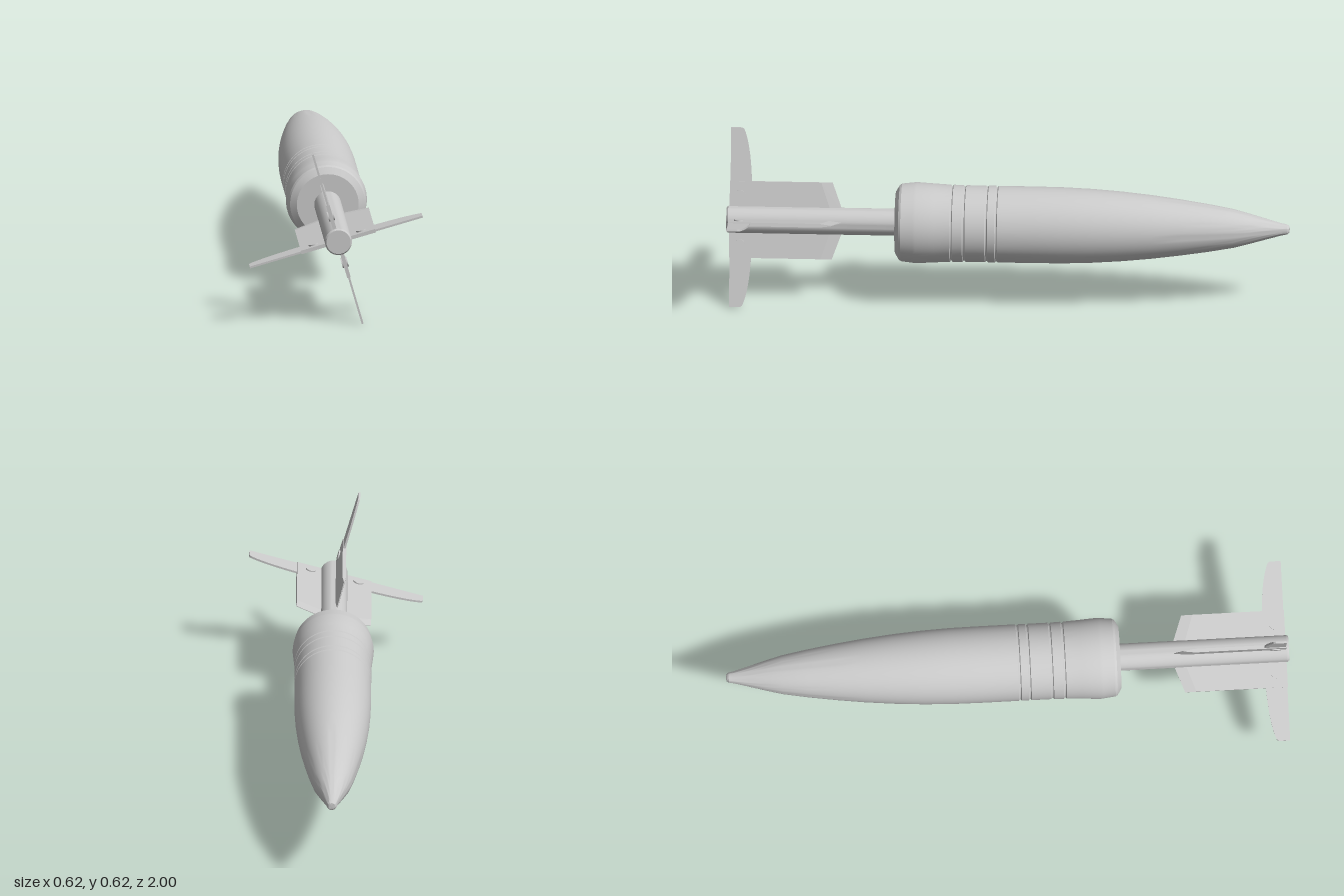
import * as THREE from 'three';
import { toCreasedNormals } from 'three/addons/utils/BufferGeometryUtils.js';
import { ConvexGeometry } from 'three/addons/geometries/ConvexGeometry.js';

const material = new THREE.MeshStandardMaterial({ color: 0xcccccc });

function addMesh(parent, name, geometry) {
  const mesh = new THREE.Mesh(geometry, material);
  mesh.name = name;
  parent.add(mesh);
  return mesh;
}

// Turned part along z from [radius, z] pairs, listed from nose to tail
function turned(profile, segments) {
  const points = profile.map(([r, z]) => new THREE.Vector2(r, z));
  const geometry = new THREE.LatheGeometry(points, segments).rotateX(Math.PI / 2);
  return toCreasedNormals(geometry, 0.4);
}

// Narrow V-shaped groove cut into the body at z
const groove = (r, z) => [[r, z - 0.005], [r - 0.004, z - 0.002], [r - 0.004, z + 0.002], [r, z + 0.005]];

// Fixed fin plate with a bevelled, swept leading edge (x radial, y thickness, z axial)
function finPlate() {
  const points = [];
  const outline = [
    [0.035, 0.588, 0.001], [0.137, 0.625, 0.001],
    [0.035, 0.63, 0.0065], [0.137, 0.665, 0.0065],
    [0.035, 0.99, 0.0065], [0.137, 0.99, 0.0065],
  ];
  for (const [x, z, t] of outline)
    for (const s of [-1, 1]) points.push(new THREE.Vector3(x, s * t, z));
  return new ConvexGeometry(points);
}

// Thin blade reaching out past the plate, with a curved leading edge
function finBlade(tip) {
  const thickness = 0.007;
  const shape = new THREE.Shape();
  shape.moveTo(0.05, 0.91);
  shape.lineTo(0.14, 0.912);
  shape.quadraticCurveTo(tip - 0.06, 0.918, tip - 0.008, 0.94);
  shape.quadraticCurveTo(tip, 0.944, tip, 0.952);
  shape.lineTo(tip, 0.988);
  shape.lineTo(0.05, 0.988);
  shape.closePath();
  const geometry = new THREE.ExtrudeGeometry(shape, { depth: thickness, bevelEnabled: false, curveSegments: 10 });
  geometry.translate(0, 0, -thickness / 2).rotateX(Math.PI / 2);
  return toCreasedNormals(geometry, 0.5);
}

export function createModel() {
  const model = new THREE.Group();
  model.name = 'finnedProjectile';

  // Everything is built around the long axis, nose toward -z
  const axis = new THREE.Group();
  axis.name = 'axis';
  axis.position.set(0.008, 0.302, 0);
  model.add(axis);

  // Ogive body with driving-band grooves and flared base
  const ogive = [
    [0, -1], [0.012, -0.998], [0.018, -0.99], [0.022, -0.97], [0.036, -0.92], [0.053, -0.86],
    [0.069, -0.8], [0.085, -0.71], [0.1, -0.61], [0.113, -0.51], [0.124, -0.4],
    [0.131, -0.3], [0.135, -0.2], [0.136, -0.1],
  ];
  addMesh(axis, 'body', turned([
    ...ogive,
    ...groove(0.136, 0.04),
    ...groove(0.136, 0.075),
    ...groove(0.136, 0.155),
    ...groove(0.137, 0.2),
    [0.14, 0.26], [0.144, 0.325], [0.143, 0.335], [0.138, 0.378],
    [0.133, 0.386], [0.11, 0.4], [0, 0.4],
  ], 64));

  // Tail boom with a chamfered end
  addMesh(axis, 'tailBoom', turned([
    [0, 0.38], [0.048, 0.38], [0.048, 0.994], [0.043, 1], [0, 1],
  ], 40));

  // Four tail fins, each a plate with an outer blade and pivot bolt
  [0.312, 0.329, 0.327, 0.313].forEach((tip, i) => {
    const fin = new THREE.Group();
    fin.name = 'fin' + (i + 1);
    fin.rotation.z = THREE.MathUtils.degToRad(16) + i * Math.PI / 2;
    axis.add(fin);
    addMesh(fin, 'finPlate', finPlate());
    addMesh(fin, 'finBlade', finBlade(tip));
    addMesh(fin, 'pivotBolt', new THREE.CylinderGeometry(0.018, 0.018, 0.022, 20)).position.set(0.088, 0, 0.952);
  });

  return model;
}
